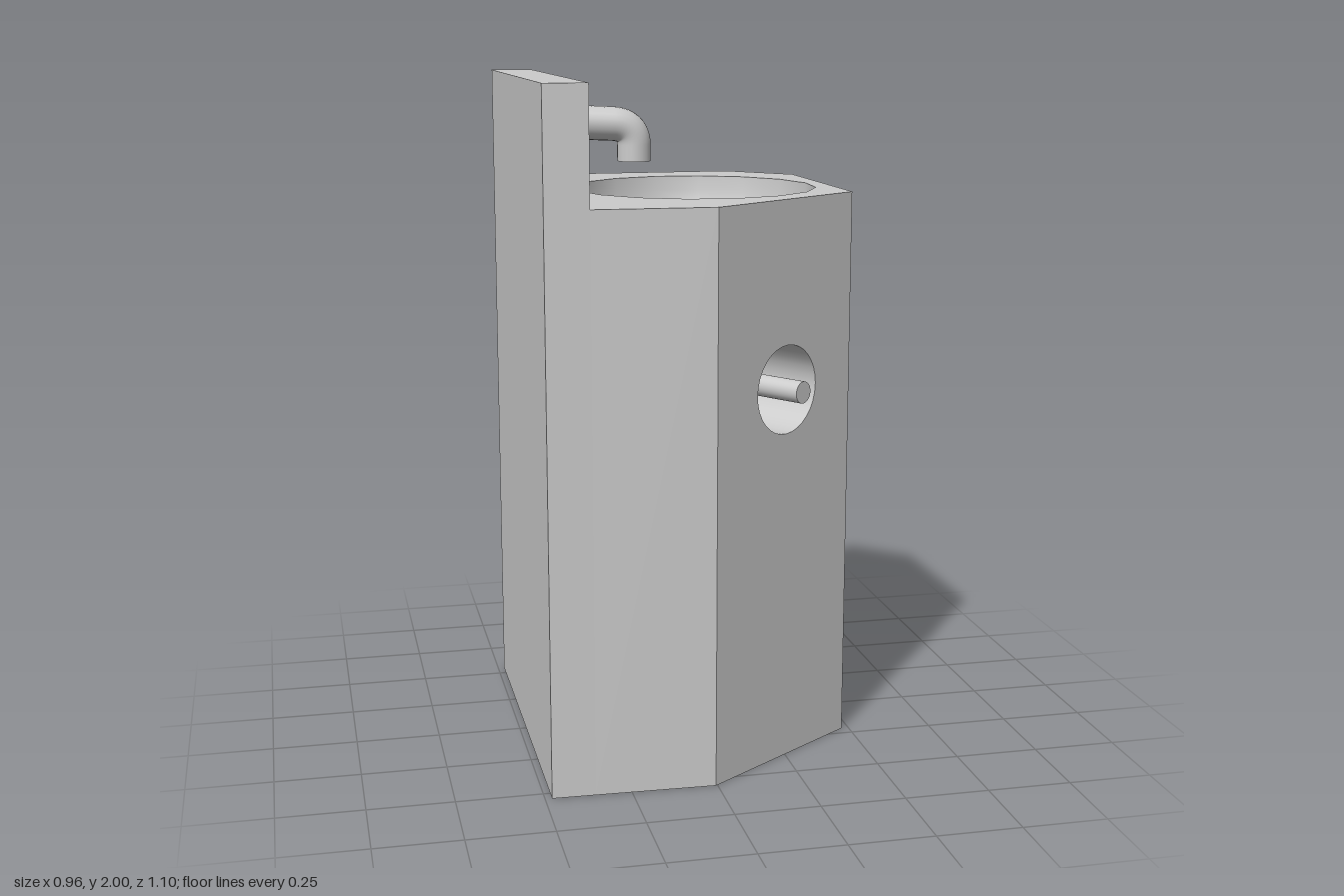
import * as THREE from 'three';

const RIM = 1.667, TOP = 2, WALL_X = -0.355;
const BOWL = { x: 0.06, z: -0.035, r: 0.365, drain: 0.05, sides: 16, start: THREE.MathUtils.degToRad(7) };
const BORE = { u: 0.3, y: 1.12, r: 0.13, depth: 0.23 };

export function createModel() {
  const model = new THREE.Group();
  const grey = new THREE.MeshStandardMaterial({ color: 0xcccccc });
  const inside = new THREE.MeshStandardMaterial({ color: 0xcccccc, side: THREE.BackSide });
  const both = new THREE.MeshStandardMaterial({ color: 0xcccccc, side: THREE.DoubleSide });

  const add = (name, geometry, parent = model, material = grey) => {
    const mesh = new THREE.Mesh(geometry, material);
    mesh.name = name;
    parent.add(mesh);
    return mesh;
  };

  // Plan corners as [x, z], running counter-clockwise seen from above
  const backLeft = [-0.48, 0.537], ledgeLeft = [WALL_X, 0.54], frontCorner = [-0.005, 0.55];
  const sideFront = [0.478, 0.213], sideBack = [0.465, -0.378], rearCorner = [0.285, -0.55];
  const ledgeRight = [WALL_X, -0.549], backRight = [-0.48, -0.547];

  // Upright panel from a to b, facing outward, with an optional round hole
  const wall = (name, a, b, y0, y1, hole) => {
    const dx = b[0] - a[0], dz = b[1] - a[1], len = Math.hypot(dx, dz);
    const shape = new THREE.Shape([[0, y0], [len, y0], [len, y1], [0, y1]].map(p => new THREE.Vector2(...p)));
    if (hole) shape.holes.push(new THREE.Path().absarc(hole.u, hole.y, hole.r, 0, Math.PI * 2, true));
    const group = new THREE.Group();
    group.name = name;
    group.position.set(a[0], 0, a[1]);
    group.rotation.y = Math.atan2(-dz, dx);
    add(name + 'Panel', new THREE.ShapeGeometry(shape, 16), group);
    model.add(group);
    return group;
  };

  // Horizontal panel facing up
  const deck = (name, corners, y, hole) => {
    const toShape = p => new THREE.Vector2(p[0], -p[1]);
    const shape = new THREE.Shape(corners.map(toShape));
    if (hole) shape.holes.push(new THREE.Path(hole.map(toShape)));
    add(name, new THREE.ShapeGeometry(shape).rotateX(-Math.PI / 2), model).position.y = y;
  };

  // Pedestal and backsplash walls
  wall('backsplashLeftEnd', backLeft, ledgeLeft, 0, TOP);
  wall('frontWall', ledgeLeft, frontCorner, 0, RIM);
  const angled = wall('angledWall', frontCorner, sideFront, 0, RIM, BORE);
  wall('sideWall', sideFront, sideBack, 0, RIM);
  wall('chamferWall', sideBack, rearCorner, 0, RIM);
  wall('rearWall', rearCorner, ledgeRight, 0, RIM);
  wall('backsplashRightEnd', ledgeRight, backRight, 0, TOP);
  wall('backWall', backRight, backLeft, 0, TOP);
  wall('backsplashFace', ledgeLeft, ledgeRight, RIM, TOP);

  // Basin deck with a faceted bowl opening
  const rim = [];
  for (let i = 0; i < BOWL.sides; i++) {
    const a = BOWL.start + (i / BOWL.sides) * Math.PI * 2;
    rim.push([BOWL.x + BOWL.r * Math.sin(a), BOWL.z + BOWL.r * Math.cos(a)]);
  }
  deck('basinDeck', [ledgeLeft, frontCorner, sideFront, sideBack, rearCorner, ledgeRight], RIM, rim);
  deck('backsplashTop', [backLeft, ledgeLeft, ledgeRight, backRight], TOP);

  // Underside
  const outline = [backLeft, frontCorner, sideFront, sideBack, rearCorner, backRight];
  const base = new THREE.Shape(outline.map(p => new THREE.Vector2(...p)));
  add('base', new THREE.ShapeGeometry(base).rotateX(Math.PI / 2));

  // Bowl and drain: spherical arcs running downward so they face inward
  const arc = (r, from, to, steps) => Array.from({ length: steps + 1 }, (_, i) => {
    const t = from + (to - from) * i / steps;
    return new THREE.Vector2(Math.max(0, r * Math.sin(t)), -r * Math.cos(t));
  });
  const drainAngle = Math.asin(BOWL.drain / BOWL.r);
  add('bowl', new THREE.LatheGeometry(arc(BOWL.r, Math.PI / 2, drainAngle, 12), BOWL.sides, BOWL.start), model, both)
    .position.set(BOWL.x, RIM, BOWL.z);
  add('drain', new THREE.LatheGeometry(arc(BOWL.drain, Math.PI / 2, 0, 6), BOWL.sides * 2, BOWL.start), model, both)
    .position.set(BOWL.x, RIM - BOWL.r * Math.cos(drainAngle), BOWL.z);

  // Recessed outlet in the angled wall
  const outlet = new THREE.Group();
  outlet.name = 'outlet';
  outlet.position.set(BORE.u, BORE.y, 0);
  angled.add(outlet);
  const rod = (r, length, open) => new THREE.CylinderGeometry(r, r, length, 32, 1, open).rotateX(Math.PI / 2);
  add('recessWall', rod(BORE.r, BORE.depth, true), outlet, inside).position.z = -BORE.depth / 2;
  add('recessBack', new THREE.CircleGeometry(BORE.r, 32), outlet).position.z = -BORE.depth;
  const reach = 0.06;
  add('outletPipe', rod(0.032, BORE.depth + reach, false), outlet).position.z = (reach - BORE.depth) / 2;

  // Bent spout
  const at = (x, y) => new THREE.Vector3(x, y, -0.028);
  const path = new THREE.CurvePath();
  path.add(new THREE.LineCurve3(at(WALL_X, 1.866), at(-0.19, 1.858)));
  path.add(new THREE.QuadraticBezierCurve3(at(-0.19, 1.858), at(-0.124, 1.855), at(-0.124, 1.795)));
  path.add(new THREE.LineCurve3(at(-0.124, 1.795), at(-0.124, 1.748)));
  add('spout', new THREE.TubeGeometry(path, 32, 0.05, 20));
  add('spoutEnd', new THREE.CircleGeometry(0.05, 20).rotateX(Math.PI / 2)).position.copy(at(-0.124, 1.748));

  // Push button: collar and plunger
  for (const [name, r, length] of [['buttonCollar', 0.053, 0.02], ['buttonPlunger', 0.033, 0.032]]) {
    add(name, new THREE.CylinderGeometry(r, r, length, 32).rotateZ(-Math.PI / 2))
      .position.set(WALL_X + length / 2, 1.865, -0.322);
  }

  return model;
}
